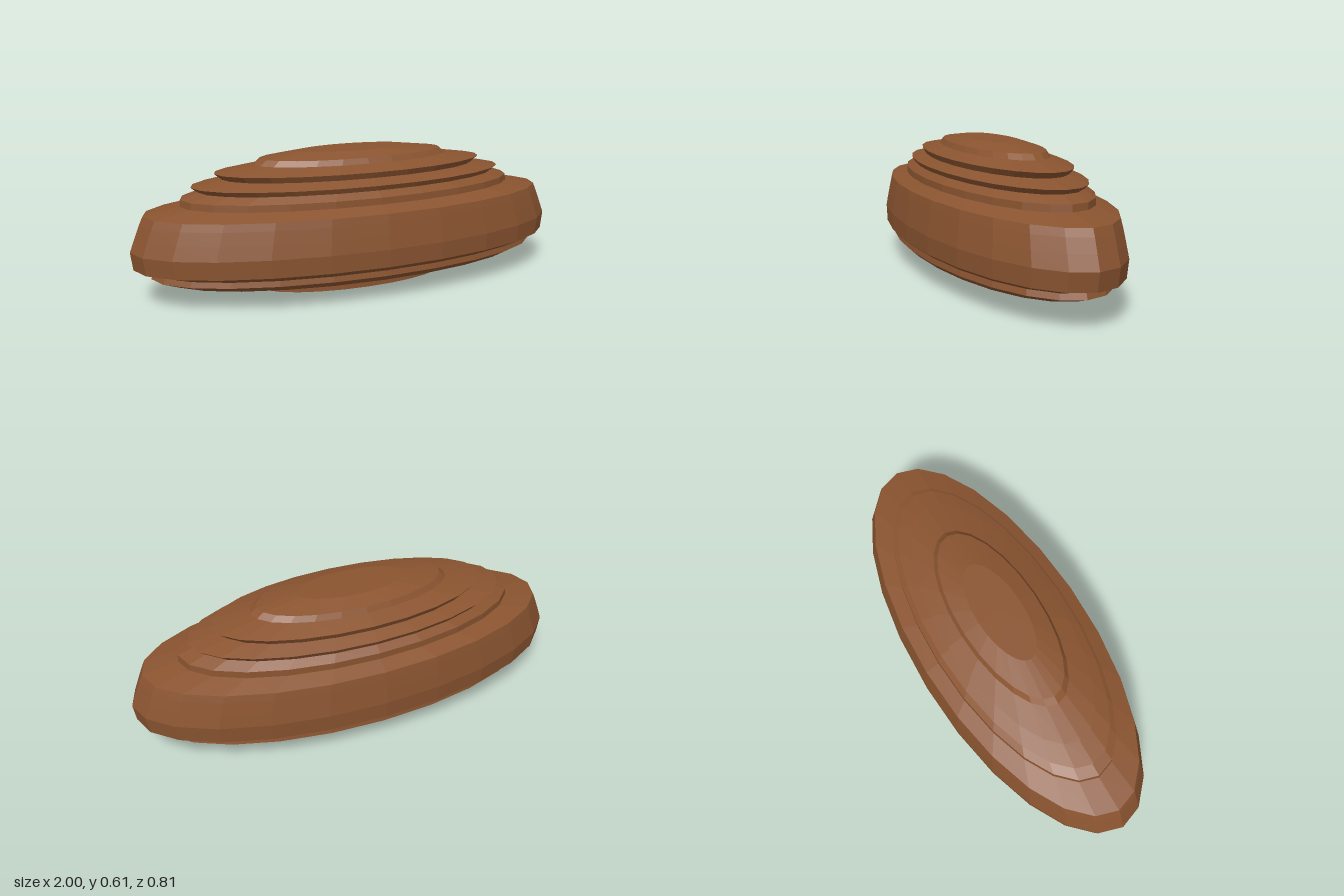
import * as THREE from 'three';

const SIDES = 24;
const DEPTH_RATIO = 0.403; // squashes the turned rings into ovals

// Profiles run bottom to top as [radius along x, height]; each starts where the last one ends.
const PROFILES = {
  foot: [[0, 0], [0.44, 0], [0.44, 0.028]],
  underside: [[0.44, 0.028], [0.845, 0.08], [0.92, 0.106]],
  lowerBand: [[0.92, 0.106], [0.91, 0.13], [0.99, 0.153]],
  body: [[0.99, 0.153], [1, 0.23], [0.977, 0.29], [0.955, 0.345], [0.94, 0.377]],
  shoulder: [[0.94, 0.377], [0.785, 0.404], [0.782, 0.433]],
  lowerTier: [[0.782, 0.433], [0.705, 0.458], [0.735, 0.48]],
  upperTier: [[0.735, 0.48], [0.6, 0.504], [0.632, 0.53]],
  crown: [[0.632, 0.53], [0.46, 0.556], [0.43, 0.58], [0.25, 0.603], [0, 0.603]],
};

export function createModel() {
  const model = new THREE.Group();
  model.name = 'tieredOvalMound';
  const material = new THREE.MeshStandardMaterial({ color: 0x8a5430, flatShading: true });

  // The stack of rings leans back by about one degree
  const stack = new THREE.Group();
  stack.name = 'ringStack';
  for (const [name, profile] of Object.entries(PROFILES)) {
    const points = profile.map(([r, y]) => new THREE.Vector2(r, y));
    const geometry = new THREE.LatheGeometry(points, SIDES);
    geometry.scale(1, 1, DEPTH_RATIO);
    const ring = new THREE.Mesh(geometry, material);
    ring.name = name;
    stack.add(ring);
  }
  stack.rotation.x = -0.017;
  stack.position.set(0, 0.003, 0.003);
  model.add(stack);
  return model;
}
